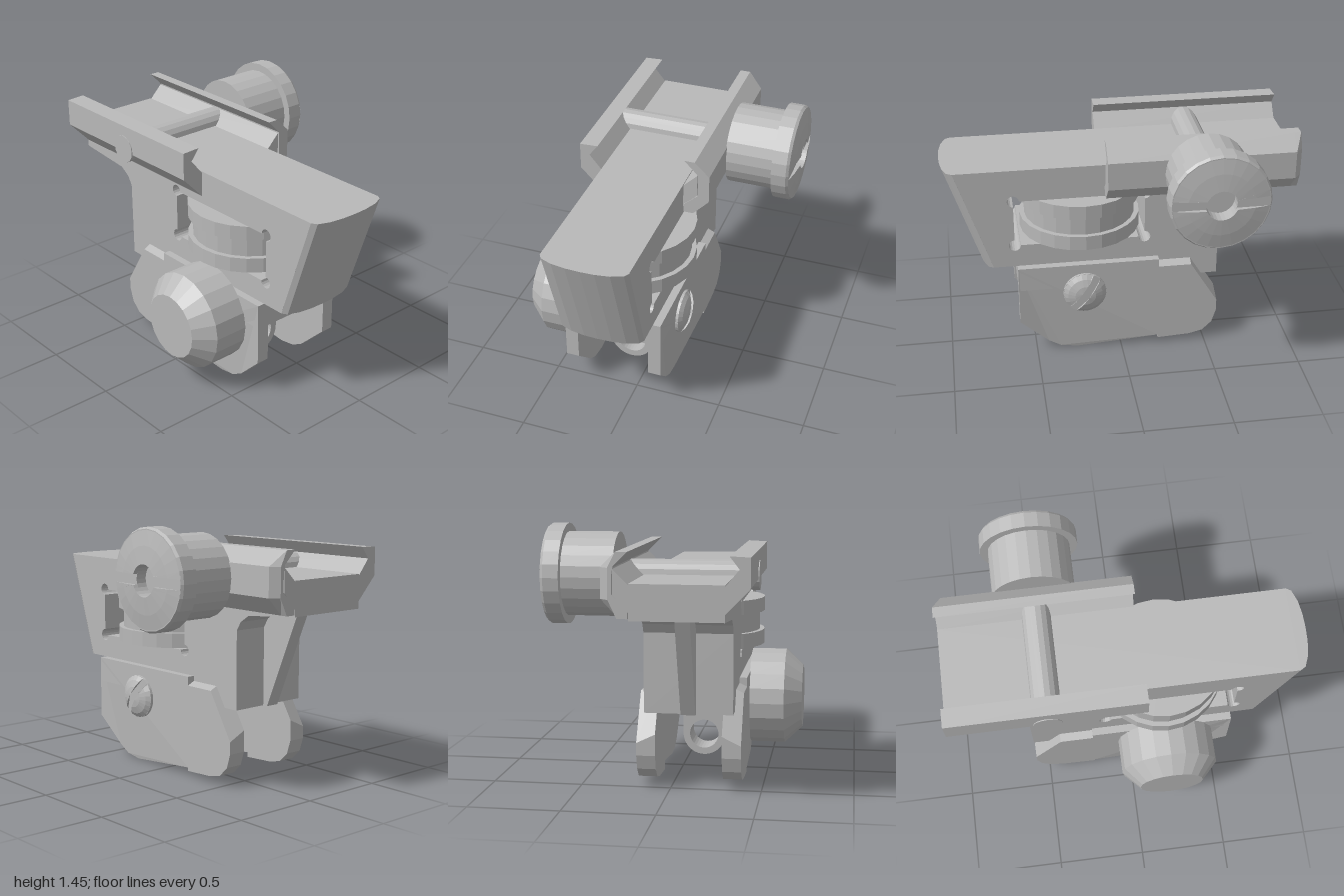
import * as THREE from 'three';

const CX = -0.107; // body centre line
const metal = new THREE.MeshStandardMaterial({ color: 0xb8b8b8, flatShading: true, side: THREE.DoubleSide });
metal.name = 'grey metal';

const toShape = (pts) => new THREE.Shape(pts.map(([a, b]) => new THREE.Vector2(a, b)));

// Side profile given as (z, y), extruded from x0 to x1
function sideExtrude(shape, x0, x1) {
  return new THREE.ExtrudeGeometry(shape, { depth: x1 - x0, bevelEnabled: false, curveSegments: 6 })
    .rotateY(-Math.PI / 2).translate(x1, 0, 0);
}

// Front profile given as (x, y), extruded from z0 to z1
function frontExtrude(shape, z0, z1) {
  return new THREE.ExtrudeGeometry(shape, { depth: z1 - z0, bevelEnabled: false, curveSegments: 16 })
    .translate(0, 0, z0);
}

// Move vertices by a rule
function reshape(geo, rule) {
  const p = geo.attributes.position;
  const v = new THREE.Vector3();
  for (let i = 0; i < p.count; i++) {
    v.fromBufferAttribute(p, i);
    rule(v);
    p.setXYZ(i, v.x, v.y, v.z);
  }
  geo.computeVertexNormals();
  return geo;
}

const lathe = (pts, seg) => new THREE.LatheGeometry(pts.map(([r, h]) => new THREE.Vector2(r, h)), seg);

export function createModel() {
  const model = new THREE.Group();
  const add = (name, geo, parent = model) => {
    const m = new THREE.Mesh(geo, metal);
    m.name = name;
    parent.add(m);
    return m;
  };

  // Turned part on the x axis; profile is (radius, x)
  const turned = (name, pts, y, z, seg = 20) =>
    add(name, lathe(pts, seg).rotateZ(-Math.PI / 2).translate(0, y, z));

  // Domed end on the x axis with a straight slot across it
  const slottedEnd = (name, pts, half, x, y, z, angle) => {
    const g = new THREE.Group();
    g.name = name;
    for (const turn of [0, Math.PI]) {
      const dome = new THREE.LatheGeometry(pts.map(([r, h]) => new THREE.Vector2(r, h)), 12, 0, Math.PI);
      reshape(dome, (v) => { v.x = Math.max(v.x, half); });
      add(name + 'Half', dome.rotateY(turn).rotateZ(-Math.PI / 2), g);
      for (const s of [1, -1]) {
        const wall = new THREE.ShapeGeometry(toShape([...pts, [pts[0][0], 0]].map(([r, h]) => [s * r, h])));
        add(name + 'SlotWall', wall.rotateY(Math.PI / 2).translate(half, 0, 0).rotateY(turn).rotateZ(-Math.PI / 2), g);
      }
    }
    g.position.set(x, y, z);
    g.rotation.x = angle;
    model.add(g);
  };

  // Main body with a relieved window for the wheel
  const body = toShape([[0.93, 1.187], [-1, 1.187], [-1, 1.0], [-0.66, 0.97], [-0.6, 0.93], [-0.57, 0.88],
    [-0.57, 0.44], [-0.22, 0.44], [-0.22, 0.58], [0.73, 0.58]]);
  const win = new THREE.Path();
  const r = 0.034, q = Math.PI / 2;
  win.absarc(-0.14, 0.715, r, q, 4 * q);
  win.absarc(0.605, 0.715, r, 2 * q, 5 * q);
  win.absarc(0.605, 0.995, r, 3 * q, 6 * q);
  win.absarc(-0.14, 0.995, r, 0, 3 * q);
  win.closePath();
  body.holes.push(win);
  add('body', sideExtrude(body, -0.35, 0.135));

  // Rounded, raked front of the body
  const arc = [[-0.243, 0], [-0.225, 0.03], [-0.16, 0.055], [-0.08, 0.067]];
  const nose = [...arc, [0, 0.07], ...arc.slice().reverse().map(([x, z]) => [-x, z])];
  const noseGeo = new THREE.ExtrudeGeometry(toShape(nose.map(([x, z]) => [x + CX, -z])), { depth: 0.607, bevelEnabled: false })
    .rotateX(-Math.PI / 2).translate(0, 0.58, 0.93);
  add('bodyNose', reshape(noseGeo, (v) => { v.z += (v.y - 1.187) * 0.33; }));

  // Sloping rib at the rear
  add('rearRib', sideExtrude(toShape([[-0.84, 1.02], [-0.56, 1.02], [-0.56, 0.44], [-0.6, 0.44]]), -0.15, -0.07));

  // Grooved adjustment wheel
  add('adjustmentWheel', lathe([[0, 0.715], [0.35, 0.715], [0.35, 0.8], [0.322, 0.8], [0.322, 0.91],
    [0.35, 0.91], [0.35, 0.992], [0, 0.992]], 24).translate(CX, 0, 0.21));

  // Dovetail rail channel
  add('railChannel', frontExtrude(toShape([[-0.35, 1.18], [-0.42, 1.265], [-0.37, 1.33], [-0.475, 1.325], [-0.475, 1.17],
    [-0.35, 1.04], [0.135, 1.04], [0.215, 1.13], [0.215, 1.26], [0.135, 1.18]]), -1, 0.085));

  // Clamping jaw with a tapered rear tip
  const jaw = toShape([[0.14, 1.345], [0.2, 1.345], [0.285, 1.265], [0.285, 1.105], [0.195, 1.01], [0.14, 1.01],
    [0.14, 1.06], [0.22, 1.13], [0.22, 1.265]]);
  add('clampJaw', frontExtrude(jaw, -0.96, 0.09));
  add('clampJawTip', reshape(frontExtrude(jaw, -1, -0.96), (v) => {
    if (v.z < -0.99) v.x = Math.min(v.x, 0.24);
  }));

  // Cross bolt and its knob
  turned('crossBolt', [[0, -0.48], [0.08, -0.48], [0.08, 0.29], [0, 0.29]], 1.185, -0.455, 16);
  turned('clampKnob', [[0, 0.28], [0.23, 0.28], [0.23, 0.56], [0.275, 0.56], [0.275, 0.645], [0.265, 0.66],
    [0.085, 0.66], [0.085, 0.6], [0, 0.6]], 1.18, -0.455, 24);
  slottedEnd('clampKnobFace', [[0.265, 0], [0.18, 0.016], [0.085, 0.026], [0.085, 0]], 0.028, 0.659, 1.18, -0.455, 0);

  // Base block
  add('baseBlock', sideExtrude(toShape([[0.595, 0.58], [-0.22, 0.58], [-0.22, 0.435], [0.595, 0.435]]), -0.388, 0.178));

  // Mirrored side plates and chamfered rear jaws
  const plate = toShape([[0.595, 0.58], [-0.22, 0.58], [-0.22, 0.055], [0.26, 0.005], [0.36, 0.02], [0.43, 0.06], [0.595, 0.22]]);
  const rearJaw = toShape([[-0.22, 0.58], [-0.41, 0.58], [-0.57, 0.32], [-0.57, 0.2], [-0.545, 0.12], [-0.49, 0.065],
    [-0.41, 0.045], [-0.22, 0.035]]);
  for (const [side, s] of [['left', 1], ['right', -1]]) {
    const span = (a, b) => (s > 0 ? [CX + a, CX + b] : [CX - b, CX - a]);
    const outer = (v) => Math.abs(v.x - CX) > 0.27;
    add(side + 'SidePlate', reshape(sideExtrude(plate, ...span(0.212, 0.286)), (v) => {
      if (outer(v) && v.y < 0.1 && v.z > 0) v.x -= s * 0.025;
    }));
    add(side + 'RearJaw', reshape(sideExtrude(rearJaw, ...span(0.182, 0.286)), (v) => {
      if (outer(v) && v.y > 0.3) v.y -= 0.05;
    }));
  }

  // Swinging lug with its eye
  const lug = toShape([[CX - 0.125, 0.165], [CX - 0.125, 0.435], [CX + 0.125, 0.435], [CX + 0.125, 0.165]]);
  lug.absarc(CX, 0.165, 0.125, 0, -Math.PI, true);
  const eye = new THREE.Path();
  eye.absarc(CX, 0.165, 0.086, 0, Math.PI * 2);
  lug.holes.push(eye);
  add('lug', frontExtrude(lug, 0.13, 0.3));

  // Lower pin, slotted screw head and thumb nut
  turned('lowerPin', [[0, -0.4], [0.045, -0.4], [0.045, 0.19], [0, 0.19]], 0.392, 0.215, 16);
  turned('screwHead', [[0, 0.17], [0.125, 0.17], [0.125, 0.195], [0, 0.195]], 0.4, 0.215, 24);
  slottedEnd('screwDome', [[0.125, 0], [0.1, 0.02], [0.06, 0.036], [0, 0.042]], 0.024, 0.194, 0.4, 0.215, 0.95);
  turned('thumbNut', [[0, -0.69], [0.185, -0.69], [0.28, -0.59], [0.28, -0.39], [0, -0.39]], 0.4, 0.21, 20);

  return model;
}
